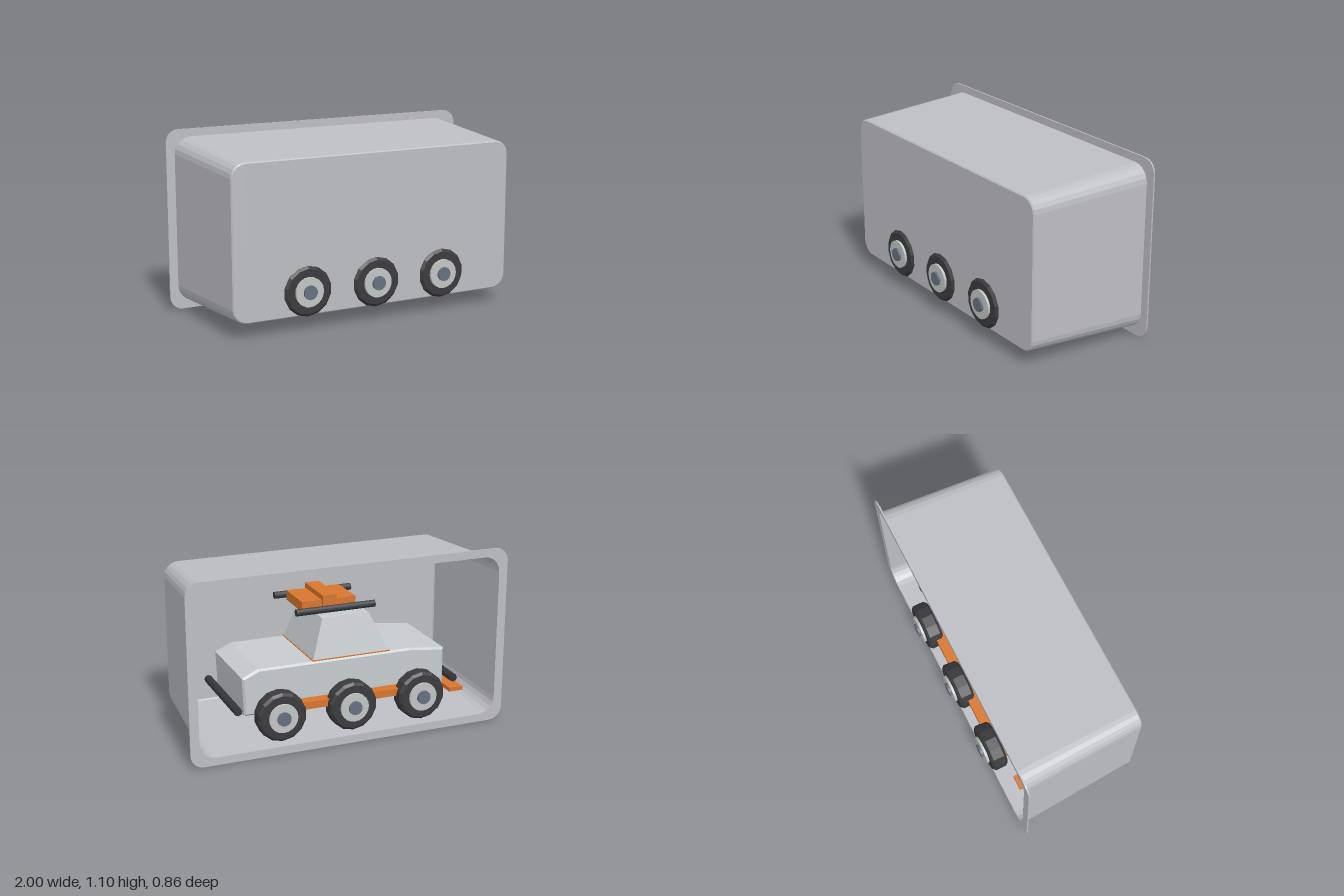
import * as THREE from 'three';
import { toCreasedNormals } from 'three/addons/utils/BufferGeometryUtils.js';

const mat = (name, color, extra = {}) =>
  Object.assign(new THREE.MeshStandardMaterial({ color, ...extra }), { name });

// Rounded rectangle outline, counter-clockwise
function outline(hx, hy, r, n = 5) {
  const pts = [];
  const corners = [[1, 1], [-1, 1], [-1, -1], [1, -1]];
  corners.forEach(([sx, sy], k) => {
    for (let i = 0; i <= n; i++) {
      const a = (k + i / n) * Math.PI / 2;
      pts.push(new THREE.Vector2(sx * (hx - r) + r * Math.cos(a), sy * (hy - r) + r * Math.sin(a)));
    }
  });
  return pts;
}

// Skin between rounded-rectangle sections [z, halfWidth, halfHeight, radius]
function loft(sections) {
  const pos = [], idx = [];
  const loops = sections.map(([z, hx, hy, r]) => outline(hx, hy, r).map(p => [p.x, p.y, z]));
  loops.forEach(l => l.forEach(p => pos.push(...p)));
  const n = loops[0].length;
  for (let s = 0; s < loops.length - 1; s++) {
    for (let i = 0; i < n; i++) {
      const a = s * n + i, b = s * n + (i + 1) % n;
      idx.push(a, b, b + n, a, b + n, a + n);
    }
  }
  const g = new THREE.BufferGeometry();
  g.setAttribute('position', new THREE.Float32BufferAttribute(pos, 3));
  g.setIndex(idx);
  return toCreasedNormals(g, 0.1);
}

export function createModel() {
  const model = new THREE.Group();
  model.name = 'vehicleInTray';
  const trayMat = mat('trayGrey', 0xbdbec3, { side: THREE.DoubleSide });
  const bodyMat = mat('bodyGrey', 0xc6cbce);
  const tyreMat = mat('tyreBlack', 0x3b3b3e);
  const barMat = mat('barBlack', 0x35373b);
  const hubMat = mat('hubGrey', 0xc2c4c4);
  const capMat = mat('capBlue', 0x667080);
  const orangeMat = mat('trimOrange', 0xd8762f);

  function add(parent, name, geo, material, x = 0, y = 0, z = 0) {
    const m = new THREE.Mesh(geo, material);
    m.name = name;
    m.position.set(x, y, z);
    parent.add(m);
    return m;
  }

  // Tray, open at the back
  const tray = new THREE.Group();
  tray.name = 'tray';
  tray.position.y = 0.55;
  model.add(tray);
  const sections = [[-0.378, 0.947, 0.503, 0.1], [0.377, 0.907, 0.459, 0.085], [0.384, 0.9, 0.452, 0.08]];
  add(tray, 'trayWalls', loft(sections), trayMat);
  add(tray, 'trayFrontWall', new THREE.ShapeGeometry(new THREE.Shape(outline(0.9, 0.452, 0.08))), trayMat, 0, 0, 0.384);
  const rim = new THREE.Shape(outline(1, 0.55, 0.08));
  rim.holes.push(new THREE.Path(outline(0.945, 0.501, 0.1).reverse()));
  add(tray, 'trayFlange', new THREE.ExtrudeGeometry(rim, { depth: 0.009, bevelEnabled: false }), trayMat, 0, 0, -0.384);

  const car = new THREE.Group();
  car.name = 'vehicle';
  model.add(car);

  // Lower body: side profile drawn across the width
  const profile = new THREE.Shape([
    [-0.64, 0.23], [0.62, 0.23], [0.63, 0.445], [0.54, 0.485], [-0.42, 0.485], [-0.64, 0.46],
  ].map(p => new THREE.Vector2(...p)));
  const bodyGeo = new THREE.ExtrudeGeometry(profile, {
    depth: 0.5, bevelThickness: 0.012, bevelSize: 0.012, bevelSegments: 1,
  });
  add(car, 'body', bodyGeo, bodyMat, 0, 0, -0.25);

  // Cab tapering to the roof
  const cabGeo = new THREE.BoxGeometry(1, 1, 1);
  const p = cabGeo.attributes.position;
  for (let i = 0; i < p.count; i++) {
    const top = p.getY(i) > 0;
    const front = p.getX(i) < 0;
    const x = top ? (front ? -0.18 : 0.12) : (front ? -0.29 : 0.2);
    p.setXYZ(i, x, top ? 0.735 : 0.495, Math.sign(p.getZ(i)) * (top ? 0.195 : 0.25));
  }
  cabGeo.computeVertexNormals();
  add(car, 'cab', cabGeo, bodyMat);
  add(car, 'cabTrim', new THREE.BoxGeometry(0.496, 0.006, 0.506), orangeMat, -0.045, 0.499, 0);

  // Roof load
  add(car, 'roofLoad', new THREE.BoxGeometry(0.34, 0.06, 0.26), orangeMat, 0.05, 0.797, 0);
  add(car, 'roofStrapBlock', new THREE.BoxGeometry(0.09, 0.085, 0.29), orangeMat, 0.05, 0.815, 0);

  // Bars across both ends
  const endBar = new THREE.CylinderGeometry(0.025, 0.025, 0.58, 8).rotateX(Math.PI / 2);
  add(car, 'frontBar', endBar, barMat, -0.71, 0.275, 0);
  add(car, 'rearBar', endBar, barMat, 0.68, 0.265, 0);
  add(car, 'frontPlate', new THREE.BoxGeometry(0.09, 0.025, 0.62), orangeMat, -0.72, 0.208, 0);

  // Wheel shapes, facing +z
  const flat = g => toCreasedNormals(g, 0.1);
  const tyreGeo = flat(new THREE.LatheGeometry([
    [0, -0.05], [0.135, -0.05], [0.15, -0.035], [0.15, 0.035], [0.135, 0.05], [0, 0.05],
  ].map(q => new THREE.Vector2(...q)), 14).rotateX(Math.PI / 2));
  const disc = (r, d, n) => new THREE.CylinderGeometry(r, r, d, n).rotateX(Math.PI / 2);
  const hubGeo = disc(0.088, 0.03, 20), capGeo = disc(0.042, 0.03, 14);

  for (const side of [-1, 1]) {
    add(car, 'roofBar', new THREE.CylinderGeometry(0.022, 0.022, 0.5, 8).rotateZ(Math.PI / 2), barMat, 0.03, 0.785, side * 0.185);
    add(car, 'sideRail', new THREE.BoxGeometry(1.1, 0.045, 0.07), orangeMat, 0, 0.265, side * 0.315);
    for (const x of [-0.445, 0, 0.445]) {
      const wheel = new THREE.Group();
      wheel.name = 'wheel';
      wheel.position.set(x, 0.235, side * 0.35);
      if (side < 0) wheel.rotation.y = Math.PI;
      car.add(wheel);
      add(wheel, 'tyre', tyreGeo, tyreMat);
      add(wheel, 'hub', hubGeo, hubMat, 0, 0, 0.05);
      add(wheel, 'hubCap', capGeo, capMat, 0, 0, 0.064);
    }
  }
  return model;
}
